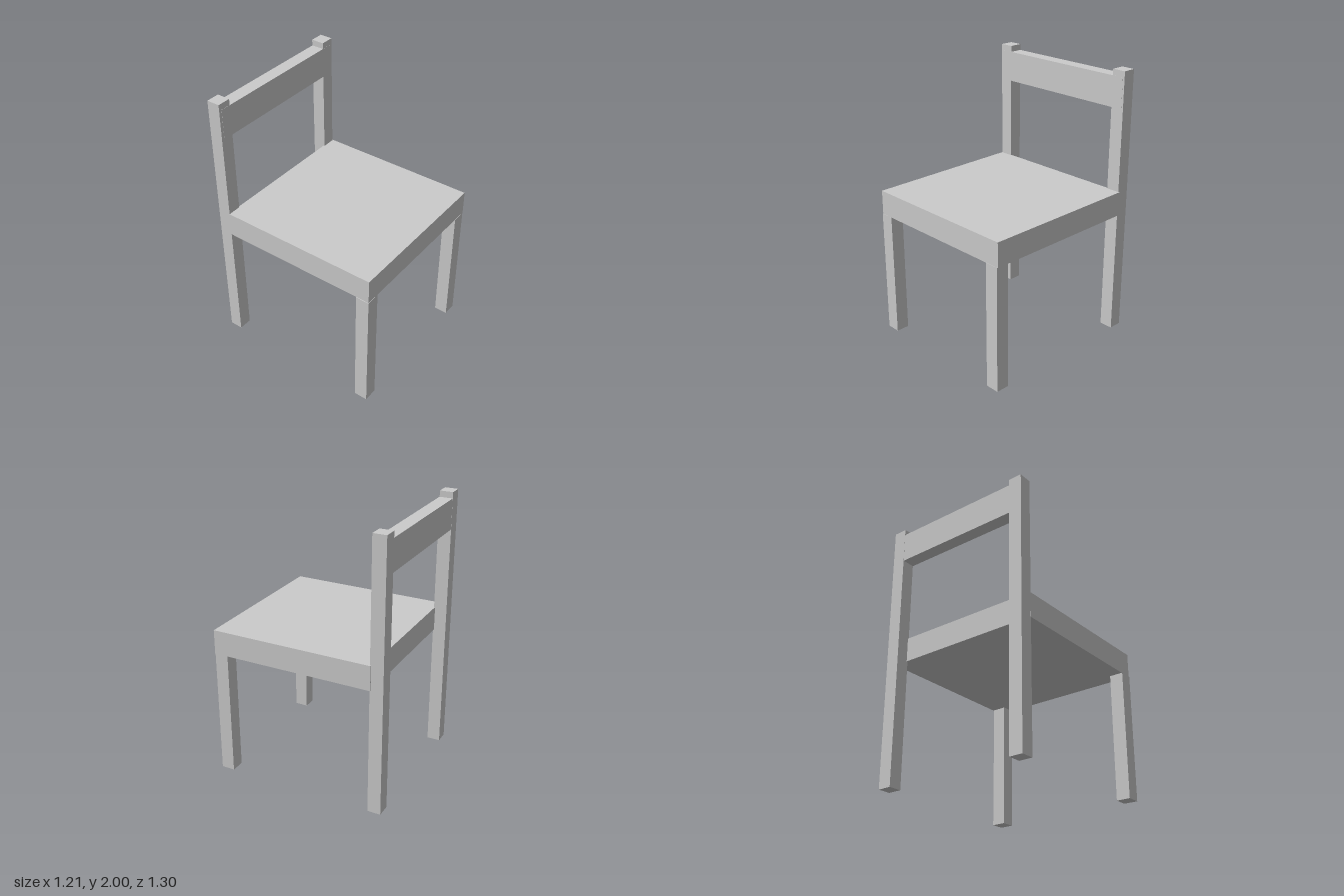
import * as THREE from 'three';

export function createModel() {
  const model = new THREE.Group();
  const material = new THREE.MeshStandardMaterial({ color: 0xcccccc, flatShading: true });

  // Box given by its [min, max] extent along each axis
  function block(name, [x0, x1], [y0, y1], [z0, z1]) {
    const mesh = new THREE.Mesh(new THREE.BoxGeometry(x1 - x0, y1 - y0, z1 - z0), material);
    mesh.position.set((x0 + x1) / 2, (y0 + y1) / 2, (z0 + z1) / 2);
    mesh.name = name;
    model.add(mesh);
  }

  // Seat slab
  block('seat', [-0.603, 0.603], [0.94, 1.12], [-0.56, 0.648]);

  // Front legs stop under the seat
  block('frontLegRight', [-0.607, -0.504], [0, 0.94], [0.55, 0.65]);
  block('frontLegLeft', [0.493, 0.596], [0, 0.94], [0.55, 0.65]);

  // Back legs run up to carry the backrest
  block('backLegRight', [-0.602, -0.502], [0, 2], [-0.65, -0.552]);
  block('backLegLeft', [0.493, 0.595], [0, 2], [-0.65, -0.552]);

  // Backrest rail, flush with the posts and let into them
  block('backrestRail', [-0.58, 0.58], [1.73, 1.955], [-0.649, -0.551]);

  return model;
}
